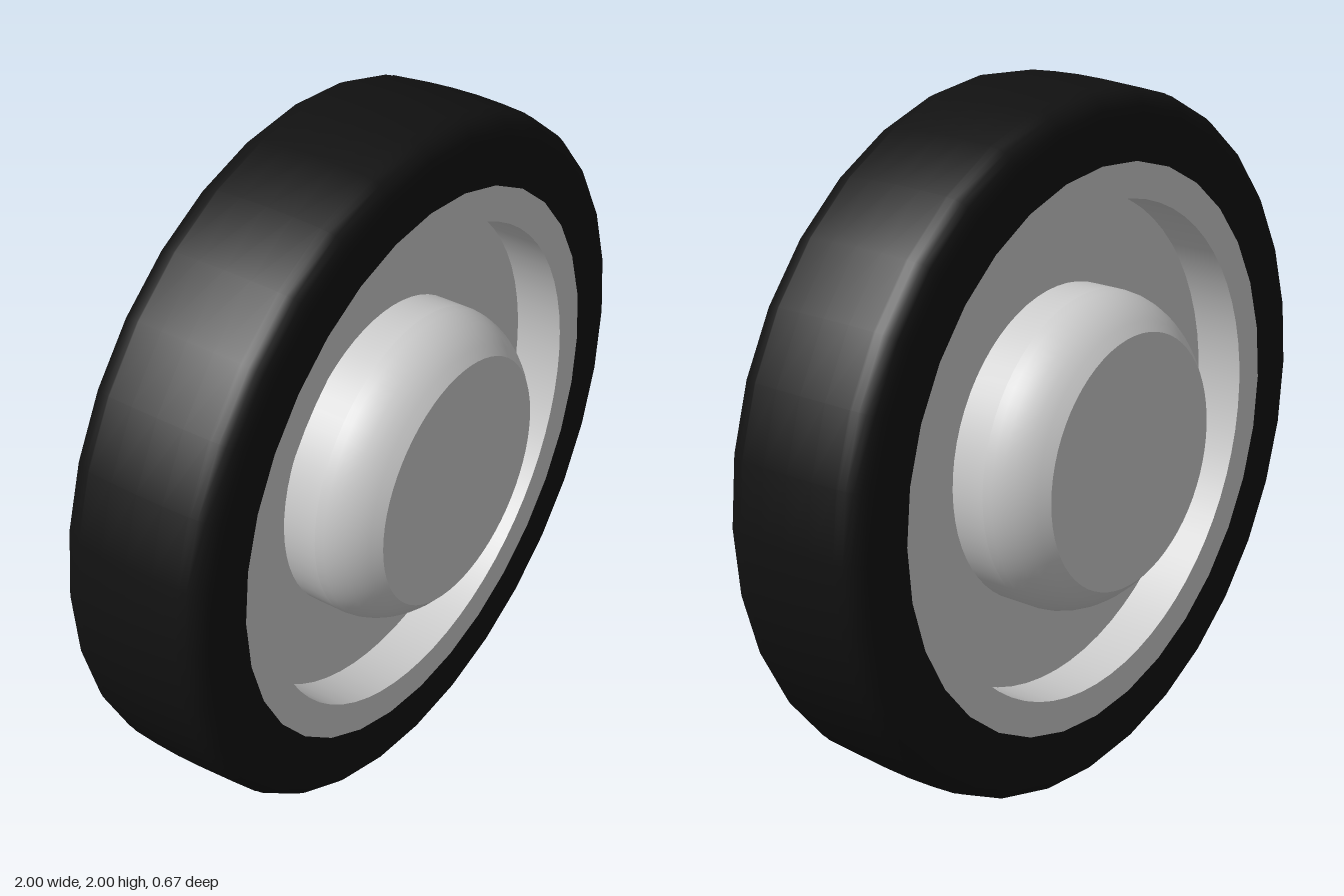
import * as THREE from 'three';

const grey = new THREE.MeshStandardMaterial({ color: 0xcccccc });
const rubber = new THREE.MeshStandardMaterial({ color: 0x111111 });

// Revolves [radius, z] points around the axle (z axis)
function revolve(name, points, material, segments = 64) {
  const geometry = new THREE.LatheGeometry(points.map(([r, z]) => new THREE.Vector2(r, z)), segments);
  geometry.rotateX(Math.PI / 2);
  const mesh = new THREE.Mesh(geometry, material);
  mesh.name = name;
  return mesh;
}

// Everything on one face of the wheel; separate strips keep the edges sharp
function createFace(name) {
  const face = new THREE.Group();
  face.name = name;
  const dome = [[0.45, 0.18], [0.447, 0.205], [0.439, 0.232], [0.426, 0.26], [0.408, 0.287], [0.386, 0.312], [0.36, 0.335]];
  face.add(
    revolve('rimLip', [[0.82, 0.224], [0.7, 0.224]], grey),
    revolve('rimWall', [[0.7, 0.224], [0.7, 0.08]], grey),
    revolve('wheelDisc', [[0.7, 0.08], [0.44, 0.08]], grey),
    revolve('hubBase', [[0.45, 0.08], [0.45, 0.18]], grey),
    revolve('hubDome', dome, grey),
    revolve('hubCap', [[0.36, 0.335], [0, 0.335]], grey)
  );
  return face;
}

// Tyre section: flat sidewalls, rounded shoulders, barely crowned tread
function createTyre() {
  const front = [[0.998, 0.08], [0.993, 0.155]];
  for (let i = 0; i <= 5; i++) {
    const a = (i / 5) * Math.PI / 2;
    front.push([0.925 + 0.066 * Math.cos(a), 0.16 + 0.065 * Math.sin(a)]);
  }
  front.push([0.91, 0.225], [0.8, 0.225]);
  const back = front.map(([r, z]) => [r, -z]).reverse();
  return revolve('tyre', [...back, [1, 0], ...front], rubber, 32);
}

export function createModel() {
  const model = new THREE.Group();
  model.name = 'wheel';
  const backFace = createFace('backFace');
  backFace.rotation.y = Math.PI;
  model.add(createTyre(), createFace('frontFace'), backFace);
  model.position.y = 1;
  const root = new THREE.Group();
  root.add(model);
  return root;
}
